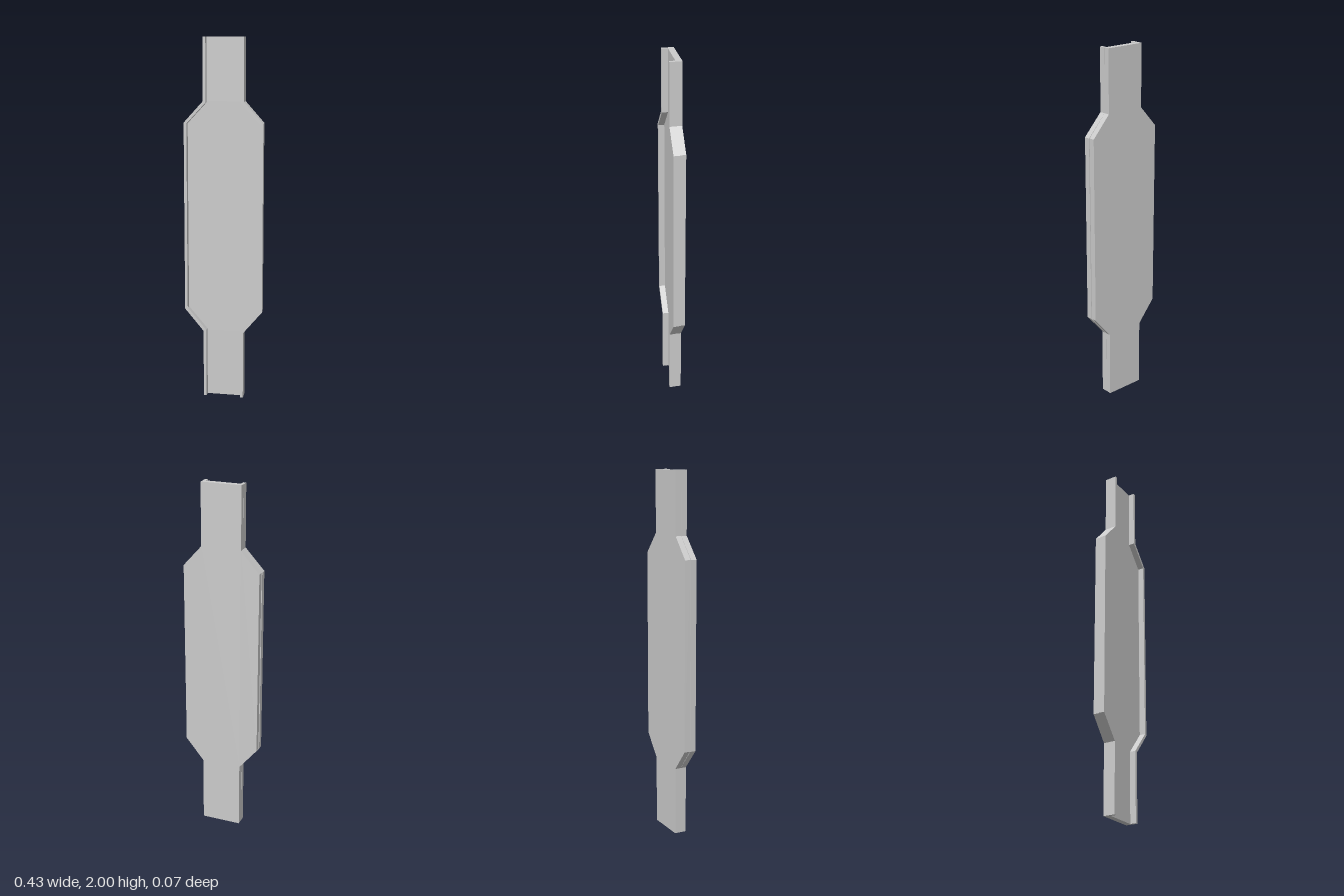
import * as THREE from 'three';

const material = new THREE.MeshStandardMaterial({ color: 0xcccccc, flatShading: true });
const DEPTH = 0.033;

// Right-hand edge of the panel, bottom to top; inset pulls the wide part's corners together.
function edge(narrow, wide, inset = 0) {
  return [
    [narrow, 0], [narrow, 0.38 + inset], [wide, 0.505 + inset],
    [wide, 1.545 - inset], [narrow, 1.66 - inset], [narrow, 2],
  ];
}

const mirrorX = (points) => points.map(([x, y]) => [-x, y]);

// Extrude a closed outline along z
function slab(name, points, z) {
  const shape = new THREE.Shape(points.map(([x, y]) => new THREE.Vector2(x, y)));
  const geometry = new THREE.ExtrudeGeometry(shape, { depth: DEPTH, bevelEnabled: false });
  const mesh = new THREE.Mesh(geometry, material);
  mesh.name = name;
  mesh.position.z = z;
  return mesh;
}

export function createModel() {
  const group = new THREE.Group();
  group.name = 'flangedPanel';

  // Flat back plate
  const plateEdge = edge(0.111, 0.213);
  group.add(slab('backPlate', [...plateEdge, ...mirrorX(plateEdge).reverse()], -DEPTH));

  // Raised rims following both long edges
  const rim = [...edge(0.112, 0.217), ...edge(0.096, 0.202, 0.006).reverse()];
  group.add(slab('leftRim', rim, 0));
  group.add(slab('rightRim', mirrorX(rim), 0));

  return group;
}
